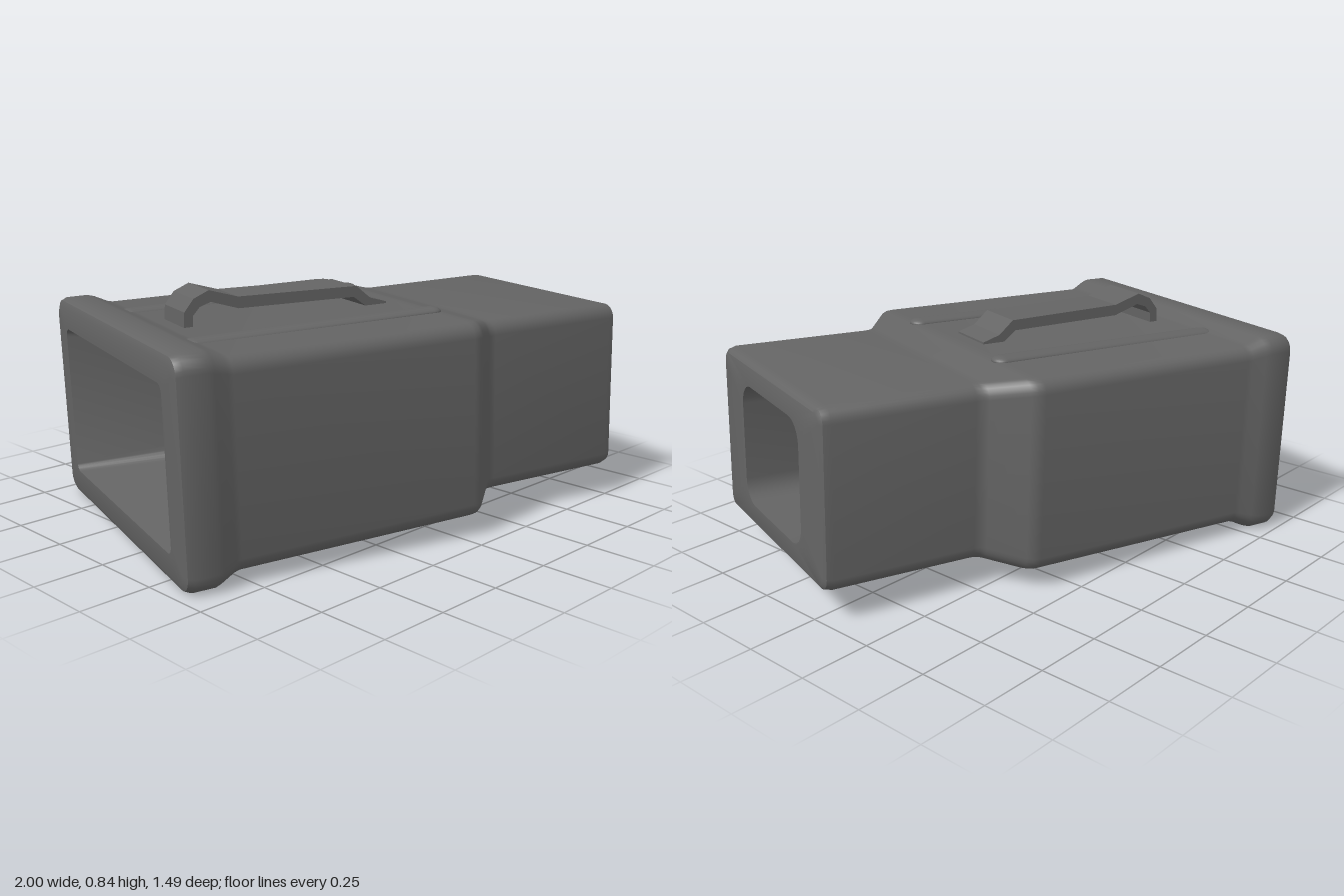
import * as THREE from 'three';
import { toCreasedNormals } from 'three/addons/utils/BufferGeometryUtils.js';

const CENTER_Z = 0.075;

// Rounded rectangle in the YZ plane, as [y, z] points
function section(halfW, halfH, r, cy) {
  const pts = [], steps = 6;
  const corners = [[1, 1], [1, -1], [-1, -1], [-1, 1]]; // [y, z] signs
  corners.forEach(([sy, sz], c) => {
    for (let k = 0; k <= steps; k++) {
      const a = (c + k / steps) * Math.PI / 2;
      pts.push([cy + sy * (halfH - r) + r * Math.sin(a), sz * (halfW - r) + r * Math.cos(a)]);
    }
  });
  return pts;
}

// Skin a run of sections along x
function loft(rings) {
  const pos = [], index = [];
  const n = 28;
  for (const [x, w, h, r, cy] of rings) {
    for (const [y, z] of section(w, h, r, cy)) pos.push(x, y, z);
  }
  for (let i = 0; i < rings.length - 1; i++) {
    for (let j = 0; j < n; j++) {
      const k = (j + 1) % n;
      const a = i * n + j, b = (i + 1) * n + j, c = (i + 1) * n + k, d = i * n + k;
      index.push(a, b, d, b, c, d);
    }
  }
  const g = new THREE.BufferGeometry();
  g.setAttribute('position', new THREE.Float32BufferAttribute(pos, 3));
  g.setIndex(index);
  return toCreasedNormals(g, 0.65);
}

export function createModel() {
  const grey = new THREE.MeshStandardMaterial({ color: 0x646464 });
  grey.name = 'dark grey';

  const root = new THREE.Group();
  root.name = 'flaredSleeve';
  const body = new THREE.Group();
  body.name = 'tiltedBody';
  body.rotation.set(0, -0.288, 0.03);
  body.position.set(0.022, 0, 0.006);
  root.add(body);

  const add = (name, geometry, x, y, z) => {
    const m = new THREE.Mesh(geometry, grey);
    m.name = name;
    m.position.set(x, y, z);
    body.add(m);
    return m;
  };

  // Hollow shell: flange, wide body, stepped neck, then back through the bore
  const Y = 0.398, N = 0.393;
  const rings = [ // x, half width, half height, corner radius, centre y
    [-0.845, 0.57, 0.343, 0.04, Y],
    [-0.836, 0.591, 0.364, 0.055, Y],
    [-0.815, 0.6, 0.373, 0.06, Y],
    [-0.74, 0.6, 0.373, 0.06, Y],
    [-0.717, 0.594, 0.367, 0.06, Y],
    [-0.67, 0.578, 0.345, 0.05, Y],
    [-0.65, 0.574, 0.341, 0.05, Y],
    [0.21, 0.574, 0.337, 0.05, Y],
    [0.235, 0.57, 0.336, 0.05, Y],
    [0.255, 0.556, 0.333, 0.05, Y],
    [0.35, 0.453, 0.311, 0.05, N],
    [0.367, 0.442, 0.309, 0.05, N],
    [0.39, 0.438, 0.308, 0.05, N],
    [0.895, 0.438, 0.308, 0.05, N],
    [0.92, 0.431, 0.301, 0.045, N],
    [0.93, 0.417, 0.288, 0.035, N],
    [0.93, 0.253, 0.22, 0.08, 0.39],
    [-0.04, 0.253, 0.22, 0.08, 0.39],
    [-0.845, 0.485, 0.27, 0.03, Y],
    [-0.845, 0.57, 0.343, 0.04, Y],
  ];
  add('shell', loft(rings), 0, 0, CENTER_Z);

  // Bent strap clip on top
  const outline = [
    [-0.61, 0.73], [-0.605, 0.79], [-0.57, 0.832], [-0.515, 0.855], [-0.41, 0.822],
    [0.045, 0.81], [0.1, 0.762], [0.165, 0.742], [0.165, 0.725], [0.085, 0.732],
    [0.033, 0.772], [-0.41, 0.782], [-0.51, 0.815], [-0.55, 0.802], [-0.575, 0.775], [-0.578, 0.73],
  ];
  const clipShape = new THREE.Shape(outline.map(([x, y]) => new THREE.Vector2(x, y)));
  const clip = new THREE.ExtrudeGeometry(clipShape, { depth: 0.18, bevelEnabled: false });
  add('strapClip', clip, 0, 0, CENTER_Z - 0.095);

  // Two low ribs either side of the clip
  for (const side of [1, -1]) {
    const rib = add(side > 0 ? 'leftRib' : 'rightRib', new THREE.CapsuleGeometry(0.04, 0.87, 8, 20),
      -0.225, 0.734, CENTER_Z + side * 0.3);
    rib.geometry.rotateZ(Math.PI / 2);
    rib.geometry.scale(1, 0.42, 1);
  }

  return root;
}
